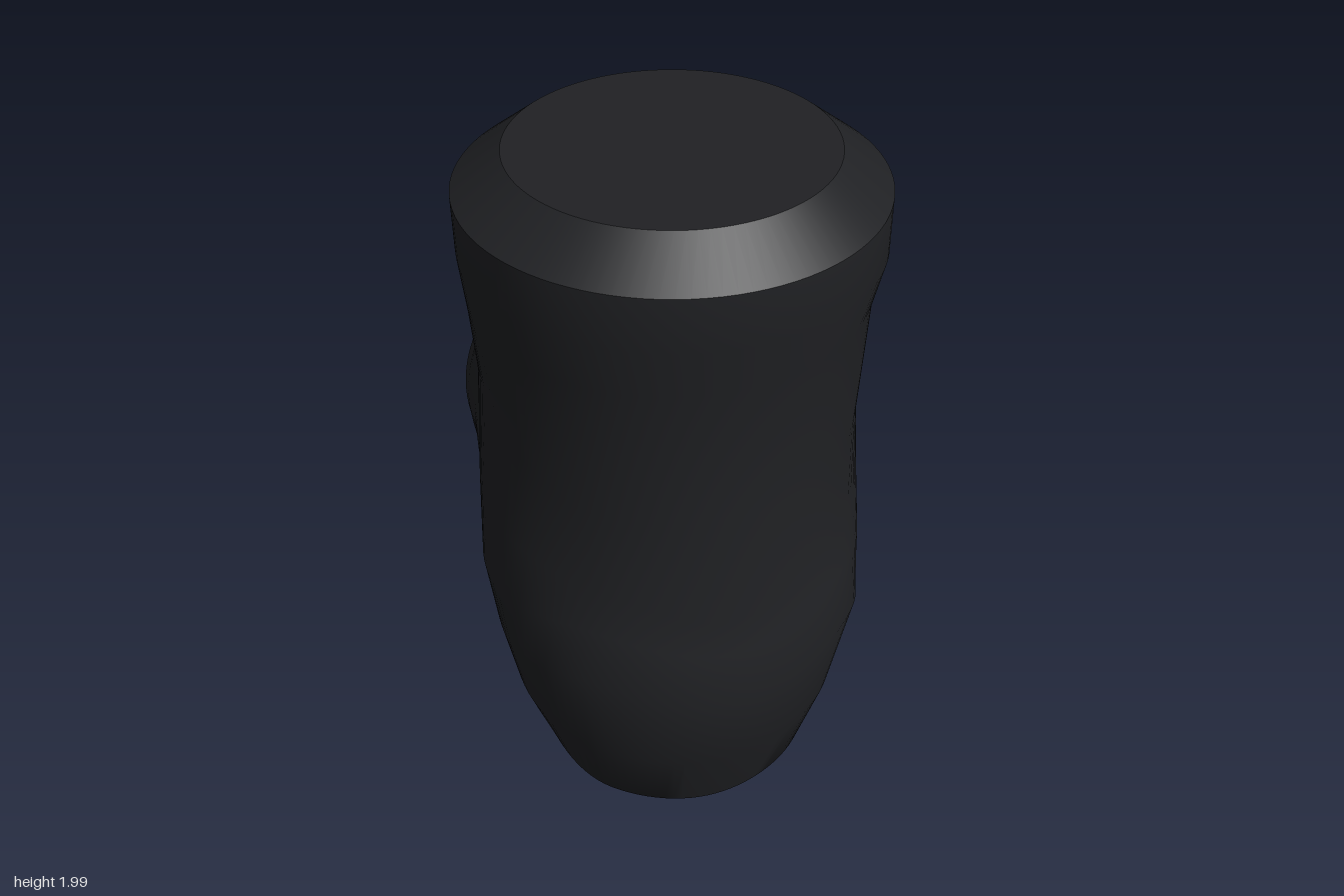
import * as THREE from 'three';
import { toCreasedNormals } from 'three/addons/utils/BufferGeometryUtils.js';

const SEG = 96;
const smooth = (t) => t * t * (3 - 2 * t);
const baseY = (z) => 0.085 - 0.245 * z; // slanted underside plane

// Skin rings stacked along y; point(row, angle) gives [radius, height], angle 0 = +z
function loft(rows, point, crease = 0.6) {
  const pos = [], index = [];
  for (let j = 0; j < rows; j++) {
    for (let i = 0; i < SEG; i++) {
      const a = (i / SEG) * Math.PI * 2;
      const [r, y] = point(j, a);
      pos.push(r * Math.sin(a), y, r * Math.cos(a));
    }
  }
  for (let j = 0; j < rows - 1; j++) {
    for (let i = 0; i < SEG; i++) {
      const k = (i + 1) % SEG;
      const a = j * SEG + i, b = j * SEG + k, c = a + SEG, d = b + SEG;
      if (point(j, 0)[0] > 0) index.push(a, b, d);
      if (point(j + 1, 0)[0] > 0) index.push(a, d, c);
    }
  }
  const g = new THREE.BufferGeometry();
  g.setAttribute('position', new THREE.Float32BufferAttribute(pos, 3));
  g.setIndex(index);
  return toCreasedNormals(g, crease);
}

// Vertical profiles [radius, y] around half the body, keyed by angle from the front
const profiles = [
  { deg: 0, p: [[0.31, 0], [0.39, 0.05], [0.48, 0.3], [0.545, 0.58], [0.515, 0.74], [0.5, 0.85], [0.5, 1.2], [0.505, 1.6], [0.55, 1.75]] },
  { deg: 45, p: [[0.35, 0], [0.41, 0.08], [0.485, 0.32], [0.55, 0.65], [0.52, 0.81], [0.495, 0.94], [0.495, 1.2], [0.512, 1.6], [0.55, 1.75]] },
  { deg: 90, p: [[0.33, 0], [0.4, 0.12], [0.475, 0.32], [0.515, 0.52], [0.545, 0.75], [0.532, 1.0], [0.5, 1.33], [0.525, 1.56], [0.547, 1.74]] },
  { deg: 135, p: [[0.36, 0], [0.425, 0.19], [0.5, 0.36], [0.54, 0.52], [0.55, 0.7], [0.55, 1.0], [0.55, 1.33], [0.55, 1.6], [0.55, 1.8]] },
  { deg: 157, p: [[0.34, 0], [0.4, 0.19], [0.465, 0.34], [0.52, 0.52], [0.53, 0.7], [0.53, 1.0], [0.54, 1.33], [0.55, 1.62], [0.55, 1.85]] },
  { deg: 172, p: [[0.32, 0], [0.37, 0.185], [0.45, 0.33], [0.5, 0.52], [0.5, 0.7], [0.5, 1.0], [0.5, 1.33], [0.503, 1.65], [0.55, 1.86]] },
  { deg: 180, p: [[0.32, 0], [0.37, 0.185], [0.45, 0.33], [0.5, 0.52], [0.5, 0.7], [0.5, 1.0], [0.5, 1.33], [0.5, 1.65], [0.55, 1.86]] },
];
const crown = [[0.55, 1.9], [0.42, 2], [0, 2]];

function bodyPoint(row, angle) {
  if (row === 0) return [0, baseY(0)];
  if (row > 9) return crown[row - 10];
  let deg = THREE.MathUtils.radToDeg(angle);
  if (deg > 180) deg = 360 - deg;
  let k = 0;
  while (k < profiles.length - 2 && deg > profiles[k + 1].deg) k++;
  const A = profiles[k], B = profiles[k + 1];
  const t = smooth((deg - A.deg) / (B.deg - A.deg));
  const r = THREE.MathUtils.lerp(A.p[row - 1][0], B.p[row - 1][0], t);
  const y = THREE.MathUtils.lerp(A.p[row - 1][1], B.p[row - 1][1], t);
  return [r, row === 1 ? baseY(r * Math.cos(angle)) : y];
}

// Neck stations: [depth behind centre, radius at the sides, radius at top and bottom]
const neck = [
  [0.1, 0.5, 0.5], [0.2, 0.5, 0.5], [0.3, 0.484, 0.5], [0.4, 0.466, 0.5], [0.48, 0.46, 0.52],
  [0.5, 0.459, 0.49], [0.51, 0.458, 0.468], [0.53, 0.456, 0.457], [0.55, 0.455, 0.455], [0.55, 0, 0],
];

export function createModel() {
  const model = new THREE.Group();
  const dark = new THREE.MeshStandardMaterial({ color: 0x202124 });
  const blue = new THREE.MeshStandardMaterial({ color: 0x00398c, side: THREE.DoubleSide });
  const add = (name, geometry, material) => {
    const mesh = new THREE.Mesh(geometry, material);
    mesh.name = name;
    model.add(mesh);
    return mesh;
  };

  // Waisted housing with bevelled crown and slanted foot
  add('housing', loft(13, bodyPoint), dark);

  // Round mounting neck on the back, flared into the housing
  const port = add('rearMount', loft(neck.length, (j, a) => {
    const [d, side, top] = neck[j];
    return [THREE.MathUtils.lerp(side, top, Math.cos(a) ** 2), d];
  }), dark);
  port.rotation.x = -Math.PI / 2;
  port.position.y = 1.005;

  // Rounded-square light ring set in the slanted underside
  const ringWidths = [0.25, 0.275];
  add('lightRing', loft(2, (j, a) => {
    const n = 2.9;
    const r = ringWidths[j] / (Math.abs(Math.sin(a)) ** n + Math.abs(Math.cos(a)) ** n) ** (1 / n);
    return [r, baseY(r * Math.cos(a)) - 0.005];
  }), blue);

  return model;
}
